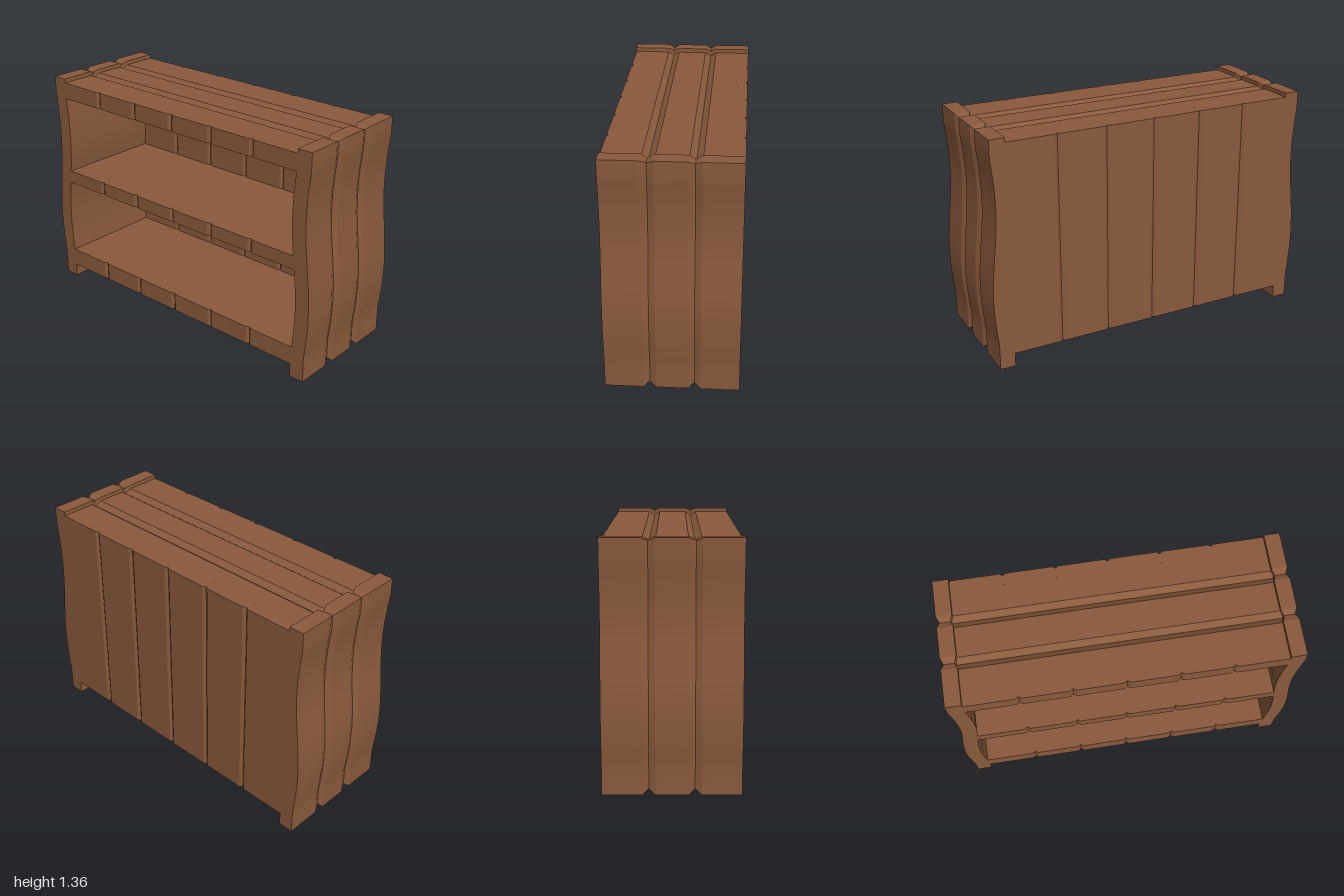
import * as THREE from 'three';
import { toCreasedNormals } from 'three/addons/utils/BufferGeometryUtils.js';

const DEPTH = 0.37; // half depth
const Z_SEAMS = [-0.122, 0.122];
const X_SEAMS = [-0.59, -0.295, 0, 0.295, 0.59];
const Z_HALF = 0.035;
const X_HALF = 0.018;

// 1 at the centre of a V groove, 0 outside it
function groove(v, seams, half) {
  return Math.max(0, ...seams.map((s) => 1 - Math.abs(v - s) / half));
}

// Grid lines along an axis, with three lines for each groove
function cuts(min, max, seams, half) {
  return [min, ...seams.flatMap((s) => [s - half, s, s + half]), max];
}

function evenCuts(min, max, n) {
  return Array.from({ length: n + 1 }, (_, i) => min + ((max - min) * i) / n);
}

// Box cut along the given grid lines, then bent by rule(p, side),
// where side tells for each axis whether the point lies on the -1 or +1 face
function carvedBox(xs, ys, zs, rule) {
  const lines = [xs, ys, zs];
  const n = lines.map((l) => l.length - 1);
  const geo = new THREE.BoxGeometry(1, 1, 1, ...n);
  const pos = geo.attributes.position;
  const v = new THREE.Vector3();
  for (let i = 0; i < pos.count; i++) {
    v.fromBufferAttribute(pos, i);
    const idx = v.toArray().map((c, a) => Math.round((c + 0.5) * n[a]));
    const side = idx.map((k, a) => (k === 0 ? -1 : k === n[a] ? 1 : 0));
    v.set(xs[idx[0]], ys[idx[1]], zs[idx[2]]);
    rule(v, side);
    pos.setXYZ(i, v.x, v.y, v.z);
  }
  return toCreasedNormals(geo, 0.35);
}

// Gentle S curve of the side walls
function sway(y) {
  return y > 0.15 && y < 1.25 ? 0.02 * Math.sin((2 * Math.PI * (y - 0.15)) / 1.1) : 0;
}

export function createModel() {
  const group = new THREE.Group();
  const wood = new THREE.MeshStandardMaterial({ color: 0x8a5a3c });
  const add = (name, geo) => {
    const mesh = new THREE.Mesh(geo, wood);
    mesh.name = name;
    group.add(mesh);
  };

  // Curved side walls, grooved outside, on the top lip and on the feet
  const wallY = [0, 0.08, 0.15, ...evenCuts(0.19, 1.23, 26), 1.25, 1.33, 1.355];
  for (const s of [-1, 1]) {
    const xs = s > 0 ? [0.89, 0.98] : [-0.98, -0.89];
    add(s > 0 ? 'leftWall' : 'rightWall', carvedBox(xs, wallY, cuts(-DEPTH, DEPTH, Z_SEAMS, Z_HALF), (p, side) => {
      const g = groove(p.z, Z_SEAMS, Z_HALF);
      const outer = side[0] === s;
      const exposed = p.y < 0.1 || p.y > 1.3;
      p.x += s * sway(p.y);
      if (outer) p.x -= s * 0.015 * g;
      else if (exposed) p.x += s * 0.015 * g;
      if (side[1] > 0) p.y -= 0.015 * g;
      if (side[1] < 0) p.y += 0.03 * g;
    }));
  }

  // Horizontal boards: plank seams across the depth and notches on the front edge
  const board = (name, y0, y1, topCut, bottomCut) => {
    const xs = cuts(-0.9, 0.9, X_SEAMS, X_HALF);
    const zs = cuts(-0.3, DEPTH, Z_SEAMS, Z_HALF);
    add(name, carvedBox(xs, [y0, y1], zs, (p, side) => {
      const g = groove(p.z, Z_SEAMS, Z_HALF);
      if (side[1] > 0) p.y -= topCut * g;
      else p.y += bottomCut * g;
      if (side[2] > 0) p.z -= 0.012 * groove(p.x, X_SEAMS, X_HALF);
    }));
  };
  board('topBoard', 1.23, 1.33, 0.025, 0);
  board('middleShelf', 0.67, 0.75, 0, 0);
  board('bottomBoard', 0.08, 0.19, 0, 0.025);

  // Back panel with vertical plank seams on both faces
  add('backPanel', carvedBox(cuts(-0.93, 0.93, X_SEAMS, X_HALF), [0.08, 1.33], [-DEPTH, -0.29], (p, side) => {
    p.z -= side[2] * 0.012 * groove(p.x, X_SEAMS, X_HALF);
  }));

  return group;
}
